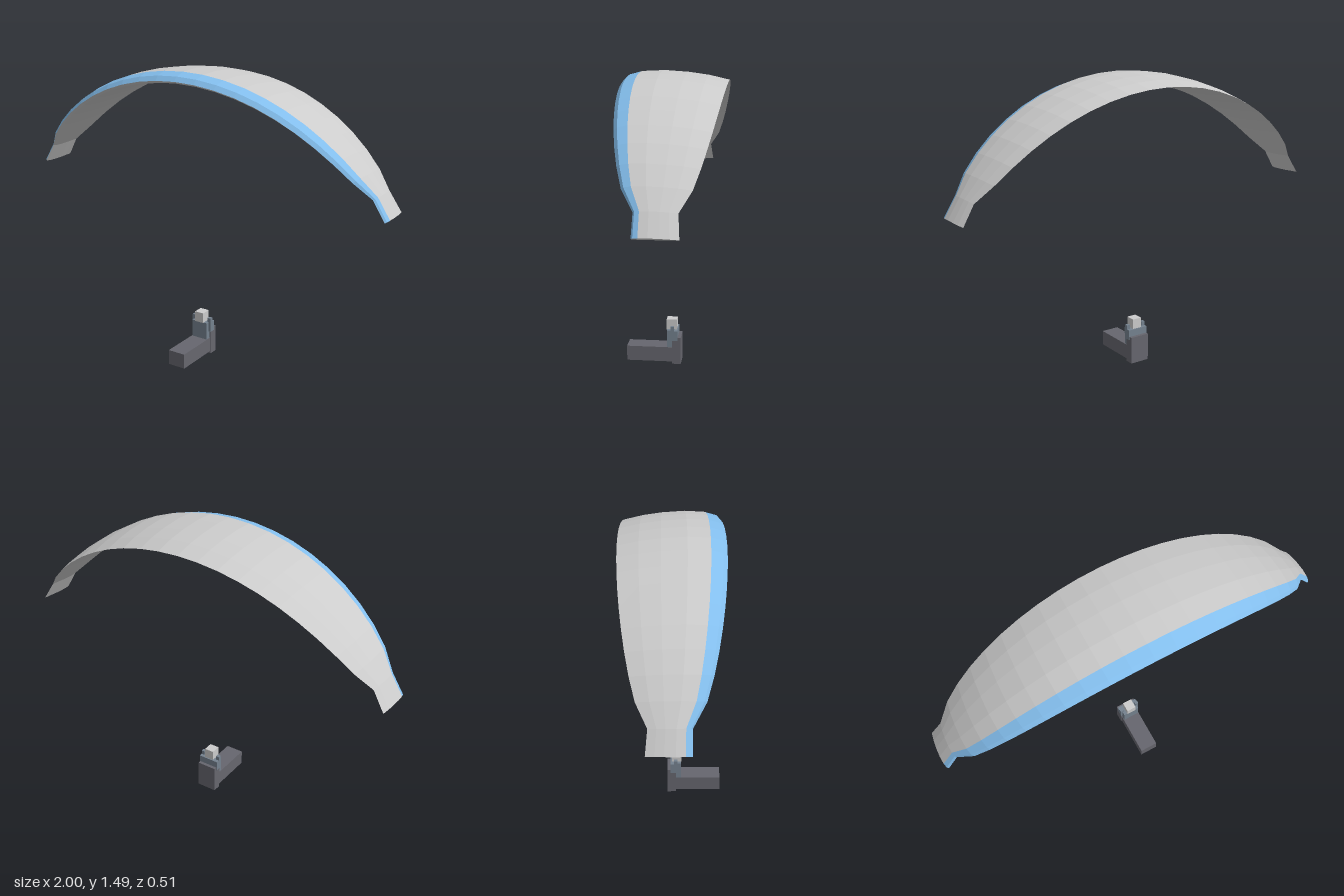
import * as THREE from 'three';

const R = 1.154, CY = 0.334;                       // arc of the wing, seen from the front
const TIP = THREE.MathUtils.degToRad(60.1), NECK = THREE.MathUtils.degToRad(54.5);

// Wing section: [distance from front to back, height below the crown]
const section = [
  [0, -0.042], [0.04, -0.02], [0.15, -0.005], [0.36, 0], [0.6, -0.008], [0.8, -0.022], [1, -0.045],
  [0.8, -0.05], [0.6, -0.058], [0.36, -0.062], [0.15, -0.061], [0.04, -0.053], [0, -0.042],
];

// Angles of the stations along the span, with one extra short tab at each tip
const stations = [-TIP];
for (let i = 0; i <= 20; i++) stations.push(-NECK + (2 * NECK * i) / 20);
stations.push(TIP);

function wingPoint(phi, [s, h]) {
  const t = Math.min(1, Math.abs(phi) / NECK);
  const g = Math.pow(1 - t * t, 0.65);
  const front = 0.078 + 0.172 * g;
  const flare = Math.abs(phi) > NECK + 1e-6 ? 0.01 : 0;
  const back = -0.105 - 0.148 * g - flare;
  const r = R + h * (front - back) / 0.503;
  return [r * Math.sin(phi), CY + r * Math.cos(phi), front + (back - front) * s];
}

function wingMesh(name, triangles, color) {
  const geo = new THREE.BufferGeometry();
  geo.setAttribute('position', new THREE.Float32BufferAttribute(triangles.flat(), 3));
  geo.computeVertexNormals();
  const mesh = new THREE.Mesh(geo, new THREE.MeshStandardMaterial({ color, flatShading: true }));
  mesh.name = name;
  return mesh;
}

// Skin between two points of the section, along the whole span
function skin(name, from, to, color) {
  const tris = [];
  for (let i = 0; i < stations.length - 1; i++) {
    for (let j = from; j < to; j++) {
      const a = wingPoint(stations[i], section[j]), b = wingPoint(stations[i + 1], section[j]);
      const c = wingPoint(stations[i], section[j + 1]), d = wingPoint(stations[i + 1], section[j + 1]);
      tris.push(a, b, c, b, d, c);
    }
  }
  return wingMesh(name, tris, color);
}

function tipCap(name, side) {
  const p = section.map((q) => wingPoint(side * TIP, q));
  const tris = [];
  for (let j = 1; j < p.length - 2; j++) {
    if (side > 0) tris.push(p[0], p[j + 1], p[j]);
    else tris.push(p[0], p[j], p[j + 1]);
  }
  return wingMesh(name, tris, 0xcccccc);
}

// Box given by its limits on each axis
function box(name, [x0, x1], [y0, y1], [z0, z1], color) {
  const mesh = new THREE.Mesh(
    new THREE.BoxGeometry(x1 - x0, y1 - y0, z1 - z0),
    new THREE.MeshStandardMaterial({ color, flatShading: true }));
  mesh.position.set((x0 + x1) / 2, (y0 + y1) / 2, (z0 + z1) / 2);
  mesh.name = name;
  return mesh;
}

export function createModel() {
  const model = new THREE.Group();

  // Arched wing with a coloured leading edge
  const wing = new THREE.Group();
  wing.name = 'wing';
  wing.add(
    skin('leadingEdge', 0, 2, 0x84bfee),
    skin('upperSkin', 2, 6, 0xcccccc),
    skin('lowerSkin', 6, 12, 0xcccccc),
    tipCap('leftTip', 1),
    tipCap('rightTip', -1));
  model.add(wing);

  // Seated pilot
  const dark = 0x66666e, cloth = 0x75828f;
  const pilot = new THREE.Group();
  pilot.name = 'pilot';
  pilot.add(
    box('legs', [-0.047, 0.047], [0.01, 0.087], [0, 0.253], dark),
    box('harness', [-0.052, 0.052], [0, 0.142], [-0.025, 0.02], dark),
    box('torso', [-0.044, 0.044], [0.087, 0.178], [-0.008, 0.047], cloth),
    box('head', [-0.025, 0.025], [0.176, 0.23], [-0.002, 0.05], 0xcccccc));
  for (const [name, s] of [['leftArm', 1], ['rightArm', -1]]) {
    const xs = s > 0 ? [0.037, 0.055] : [-0.055, -0.037];
    const arm = new THREE.Group();
    arm.name = name;
    arm.add(
      box('forearm', xs, [0.125, 0.2], [0.01, 0.028], cloth),
      box('upperArm', xs, [0.125, 0.178], [-0.008, 0.01], cloth));
    pilot.add(arm);
  }
  model.add(pilot);
  return model;
}
